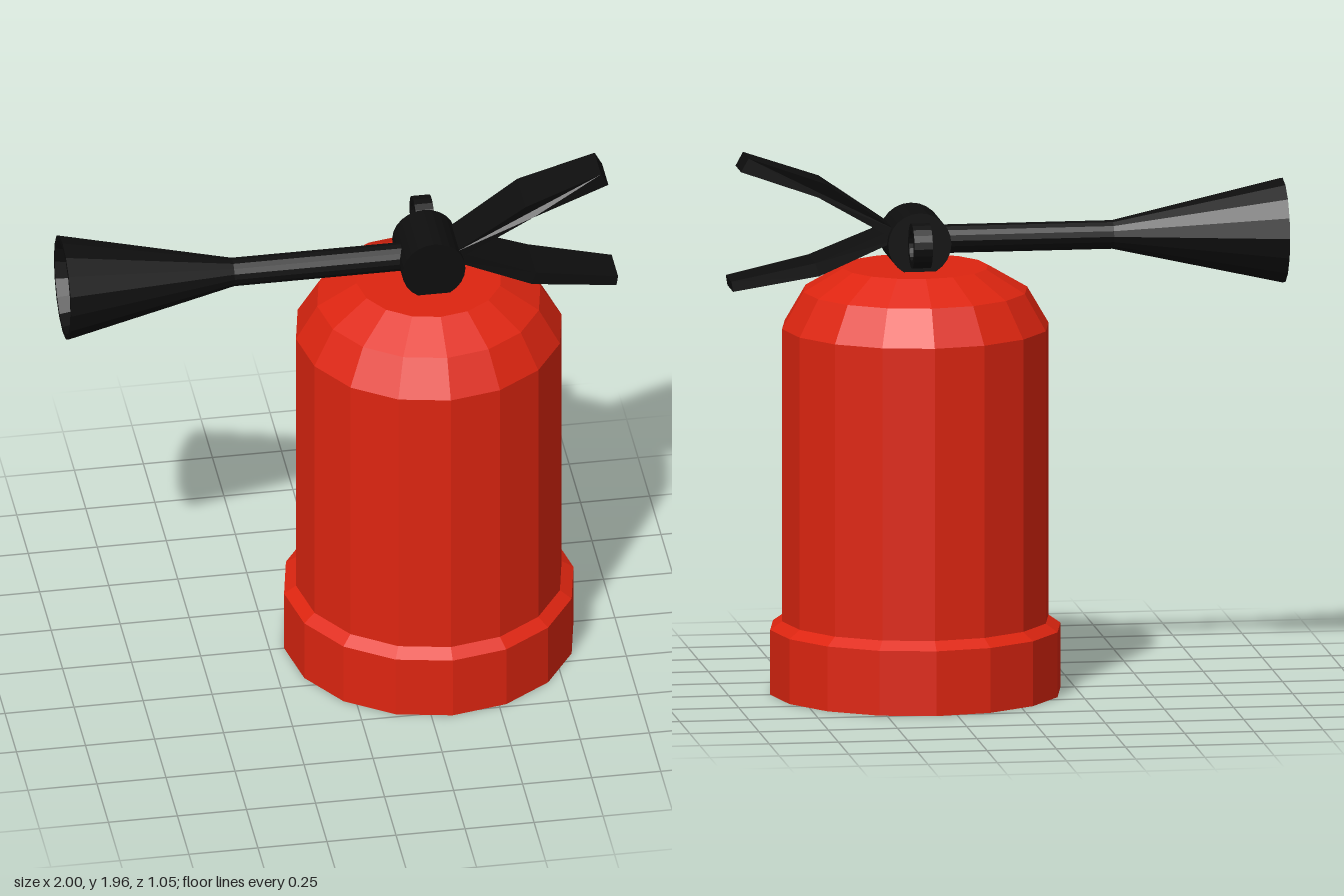
import * as THREE from 'three';

const red = new THREE.MeshStandardMaterial({ name: 'red paint', color: 0xde2510 });
const black = new THREE.MeshStandardMaterial({ name: 'black plastic', color: 0x0e0e0e });
red.flatShading = black.flatShading = true;

const AXIS_X = 0.326; // tank axis
const VALVE_Y = 1.638;

function addPart(group, name, geometry, material, x = 0, y = 0, z = 0) {
  const mesh = new THREE.Mesh(geometry, material);
  mesh.name = name;
  mesh.position.set(x, y, z);
  group.add(mesh);
  return mesh;
}

function lathe(points, segments) {
  return new THREE.LatheGeometry(points.map(([r, y]) => new THREE.Vector2(r, y)), segments);
}

// Bent lever: side outline extruded, then its width varied along its length
function lever(outline, stations) {
  const shape = new THREE.Shape(outline.map(([x, y]) => new THREE.Vector2(x, y)));
  const geometry = new THREE.ExtrudeGeometry(shape, { depth: 1, bevelEnabled: false });
  const pos = geometry.attributes.position;
  const [x0, x1, x2] = stations;
  for (let i = 0; i < pos.count; i++) {
    const x = pos.getX(i);
    const half = x < x1
      ? THREE.MathUtils.mapLinear(x, x0, x1, 0.08, 0.093)
      : THREE.MathUtils.mapLinear(x, x1, x2, 0.093, 0.07);
    pos.setZ(i, (pos.getZ(i) - 0.5) * 2 * half);
  }
  geometry.computeVertexNormals();
  return geometry;
}

export function createModel() {
  const model = new THREE.Group();
  model.name = 'fireExtinguisher';

  // Tank with foot ring and domed shoulder
  addPart(model, 'tank', lathe([
    [0, 0], [0.524, 0], [0.524, 0.235], [0.481, 0.265], [0.481, 1.325],
    [0.404, 1.457], [0.262, 1.54], [0, 1.54],
  ], 16), red, AXIS_X);

  // Valve barrel lying front to back
  const barrel = new THREE.CylinderGeometry(0.114, 0.114, 0.226, 24).rotateX(Math.PI / 2);
  addPart(model, 'valve', barrel, black, AXIS_X, VALVE_Y);

  // Hose and hollow horn pointing to -x
  const horn = lathe([
    [0.052, -0.3], [0.052, 0.385], [0.19, 1], [0.17, 1], [0.035, 0.45], [0, 0.45],
  ], 16).rotateZ(Math.PI / 2);
  addPart(model, 'hoseAndHorn', horn, black, 0, VALVE_Y);

  // Squeeze levers
  addPart(model, 'upperLever', lever([
    [0.38, 1.635], [0.43, 1.664], [0.69, 1.815], [0.965, 1.91],
    [0.938, 1.959], [0.662, 1.863], [0.41, 1.69], [0.38, 1.67],
  ], [0.38, 0.675, 0.95]), black);
  addPart(model, 'lowerLever', lever([
    [0.38, 1.66], [0.415, 1.645], [0.685, 1.53], [0.994, 1.477],
    [1, 1.514], [0.7, 1.577], [0.43, 1.685], [0.38, 1.7],
  ], [0.38, 0.69, 1]), black);

  // Safety pin: flat ring behind the valve
  const ring = lathe([
    [0.056, -0.033], [0.081, -0.033], [0.081, 0.033], [0.056, 0.033], [0.056, -0.033],
  ], 20).rotateZ(Math.PI / 2);
  addPart(model, 'pinRing', ring, black, 0.338, 1.652, -0.212);
  addPart(model, 'pinStem', new THREE.BoxGeometry(0.05, 0.03, 0.05), black, 0.338, 1.652, -0.12);

  return model;
}
